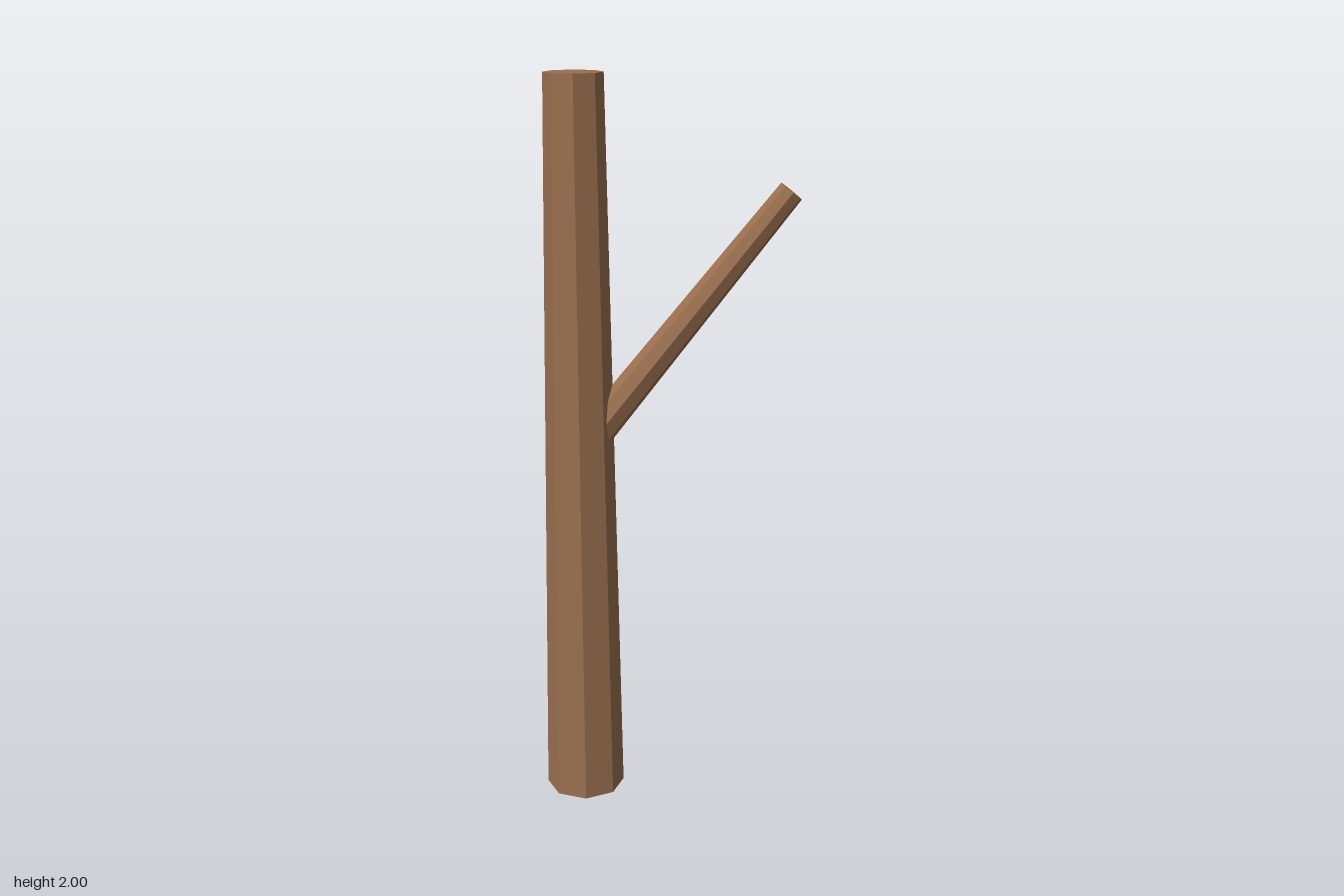
import * as THREE from 'three';

export function createModel() {
  const model = new THREE.Group();
  const bark = new THREE.MeshStandardMaterial({ color: 0x9a6f4e });
  bark.name = 'bark brown';

  // Tapered eight-sided limb between two points
  function limb(name, from, to, bottomRadius, topRadius) {
    const axis = to.clone().sub(from);
    const geometry = new THREE.CylinderGeometry(topRadius, bottomRadius, axis.length(), 8).toNonIndexed();
    geometry.computeVertexNormals(); // faceted sides
    const mesh = new THREE.Mesh(geometry, bark);
    mesh.name = name;
    mesh.position.copy(from).addScaledVector(axis, 0.5);
    mesh.rotation.z = -Math.atan2(axis.x, axis.y);
    model.add(mesh);
  }

  const trunkX = -0.239;
  limb('trunk', new THREE.Vector3(trunkX, 0, 0), new THREE.Vector3(trunkX, 2, 0), 0.109, 0.077);
  // Side branch, rooted inside the trunk
  limb('branch', new THREE.Vector3(trunkX, 1, 0), new THREE.Vector3(0.319, 1.698, 0), 0.05, 0.035);

  return model;
}
